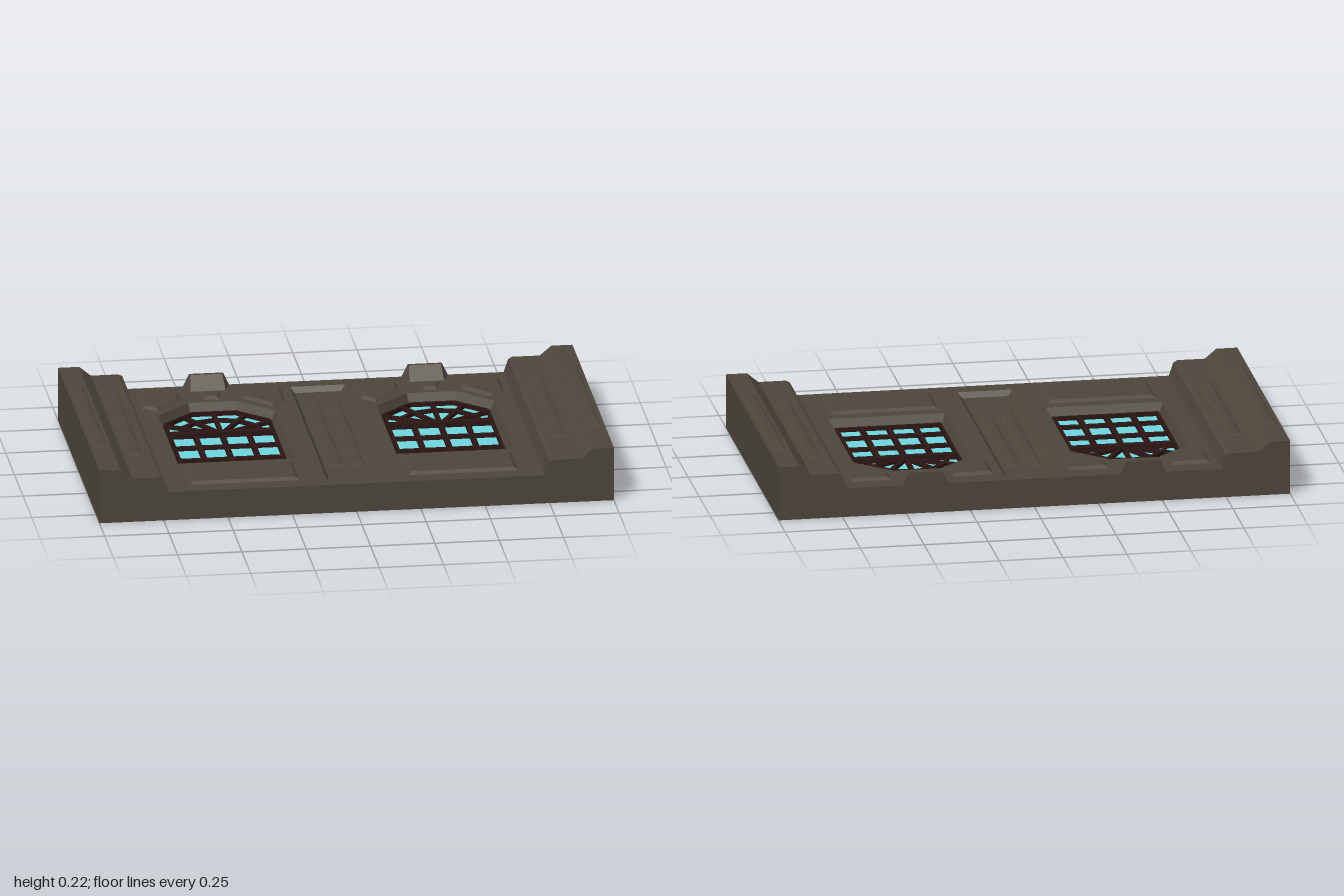
import * as THREE from 'three';

const mat = (color) => new THREE.MeshStandardMaterial({ color, flatShading: true });
const stone = mat(0x4d463b), trim = mat(0x2b1513), glass = mat(0x6fd6de);
const WALL = 0.115, GLASS = 0.068, WINDOW_X = 0.425;

// Plan points are [x, z]; they become counterclockwise Vector2 (x, -z).
function plan(points) {
  const p = points.map(([x, z]) => new THREE.Vector2(x, -z));
  return THREE.ShapeUtils.isClockWise(p) ? p.reverse() : p;
}
const rect = (x0, x1, z0, z1) => plan([[x0, z0], [x1, z0], [x1, z1], [x0, z1]]);
const shift = (poly, dx) => poly.map((p) => new THREE.Vector2(p.x + dx, p.y));

// Moves every edge of a convex outline inwards by d
function inset(poly, d) {
  const n = poly.length;
  return poly.map((p, i) => {
    const a = p.clone().sub(poly[(i + n - 1) % n]).normalize();
    const b = poly[(i + 1) % n].clone().sub(p).normalize();
    const na = new THREE.Vector2(-a.y, a.x), nb = new THREE.Vector2(-b.y, b.x);
    const m = na.clone().add(nb);
    return p.clone().addScaledVector(m, d / (1 + na.dot(nb)));
  });
}

// Sloped sides between two outlines, optionally closed by a flat face
function bevel(outer, y0, inner, y1, cap = true) {
  const v = [];
  const put = (p, y) => v.push(p.x, y, -p.y);
  outer.forEach((a, i) => {
    const j = (i + 1) % outer.length;
    put(a, y0); put(outer[j], y0); put(inner[j], y1);
    put(a, y0); put(inner[j], y1); put(inner[i], y1);
  });
  if (cap) {
    for (const f of THREE.ShapeUtils.triangulateShape(inner, [])) f.forEach((k) => put(inner[k], y1));
  }
  const g = new THREE.BufferGeometry();
  g.setAttribute('position', new THREE.Float32BufferAttribute(v, 3));
  g.computeVertexNormals();
  return g;
}

// Upright extrusion of a plan outline with holes
function slab(outline, holes, y0, y1) {
  const s = new THREE.Shape(outline);
  holes.forEach((h) => s.holes.push(new THREE.Path(h)));
  return new THREE.ExtrudeGeometry(s, { depth: y1 - y0, bevelEnabled: false })
    .rotateX(-Math.PI / 2).translate(0, y0, 0);
}

function add(parent, name, geometry, material = stone) {
  const m = new THREE.Mesh(geometry, material);
  m.name = name;
  parent.add(m);
  return m;
}

const opening = plan([
  [-0.228, 0.28], [0.228, 0.28], [0.228, -0.28], [0.095, -0.408], [-0.095, -0.408], [-0.228, -0.28],
]);

function makeWindow() {
  const g = new THREE.Group();
  g.name = 'window';
  const inner = inset(opening, 0.02);
  add(g, 'windowReveal', bevel(opening, WALL, inner, GLASS, false));
  add(g, 'windowGlass', new THREE.ShapeGeometry(new THREE.Shape(inner)).rotateX(-Math.PI / 2).translate(0, GLASS, 0), glass);
  add(g, 'windowFrame', slab(inner, [inset(inner, 0.012)], GLASS - 0.005, 0.084), trim);
  const bar = (name, w, d, x, z, turn = 0, h = 0.014) => {
    const b = add(g, name, new THREE.BoxGeometry(w, h, d), trim);
    b.position.set(x, GLASS + h / 2, z);
    b.rotation.y = turn;
  };
  // Square panes below the transom
  bar('transom', 0.41, 0.036, 0, -0.145, 0, 0.02);
  for (const x of [-0.104, 0, 0.104]) bar('mullion', 0.02, 0.4, x, 0.06);
  for (const z of [0, 0.143]) bar('glazingBar', 0.41, 0.02, 0, z);
  // Fan of rays with a ring of short bars
  const hub = -0.145, r = 0.165;
  for (let i = 0; i < 6; i++) {
    const a = (i * Math.PI) / 6, mid = a + Math.PI / 12;
    if (i > 0) bar('fanRay', 0.24, 0.017, Math.cos(a) * 0.12, hub - Math.sin(a) * 0.12, a);
    const rm = r * Math.cos(Math.PI / 12);
    bar('fanRing', 2 * r * Math.sin(Math.PI / 12) + 0.003, 0.016,
      Math.cos(mid) * rm, hub - Math.sin(mid) * rm, mid + Math.PI / 2);
  }
  return g;
}

// Raised panels, window surround and keystone of one bay
function makeBay() {
  const g = new THREE.Group();
  g.name = 'windowBay';
  const panel = (name, poly) => add(g, name, bevel(poly, WALL, inset(poly, 0.015), 0.125));
  panel('lowerPanel', rect(-0.212, 0.212, 0.33, 0.53));
  panel('crownPanel', plan([[-0.05, -0.52], [0.05, -0.52], [0.03, -0.435], [-0.03, -0.435]]));
  for (const s of [-1, 1]) {
    panel('spandrelPanel', plan([
      [s * 0.28, -0.52], [s * 0.12, -0.52], [s * 0.12, -0.43], [s * 0.225, -0.32], [s * 0.28, -0.37],
    ]));
  }
  const foot = plan([[-0.09, -0.6], [0.09, -0.6], [0.068, -0.535], [-0.068, -0.535]]);
  const crest = plan([[-0.066, -0.6], [0.066, -0.6], [0.062, -0.585], [-0.062, -0.585]]);
  add(g, 'keystone', bevel(foot, WALL, crest, 0.165));
  g.add(makeWindow());
  return g;
}

export function createModel() {
  const model = new THREE.Group();
  model.name = 'wallPanel';

  // Wall body with openings for both windows and the centre recess
  const recess = rect(-0.108, 0.108, -0.54, 0.53);
  const edge = rect(-1, 1, -0.6, 0.6);
  add(model, 'backing', new THREE.BoxGeometry(2, 0.05, 1.2).translate(0, 0.025, 0));
  add(model, 'wall', slab(edge, [recess, shift(opening, -WINDOW_X), shift(opening, WINDOW_X)], 0.05, WALL));

  // Centre recess with two narrow strips
  add(model, 'centreRecess', bevel(recess, WALL, inset(recess, 0.018), 0.095));
  const strip = (x0, x1, y) => {
    const p = rect(x0, x1, -0.385, 0.335);
    add(model, 'narrowStrip', bevel(p, y, inset(p, 0.012), y + 0.005));
  };
  strip(-0.07, -0.015, 0.095);
  strip(0.015, 0.07, 0.095);

  for (const s of [-1, 1]) {
    const bay = makeBay();
    bay.position.x = s * WINDOW_X;
    model.add(bay);

    // Stepped pilaster along each side
    const profile = [[1, WALL], [1, 0.214], [0.918, 0.214], [0.872, 0.176], [0.765, 0.176], [0.75, 0.168], [0.732, WALL]];
    const shape = new THREE.Shape(profile.map(([x, y]) => new THREE.Vector2(s * x, y)));
    add(model, 'pilaster', new THREE.ExtrudeGeometry(shape, { depth: 1.2, bevelEnabled: false }).translate(0, 0, -0.6));
    for (const [a, b, y] of [[0.93, 0.985, 0.214], [0.795, 0.85, 0.176]]) {
      strip(Math.min(s * a, s * b), Math.max(s * a, s * b), y);
    }
  }
  return model;
}
